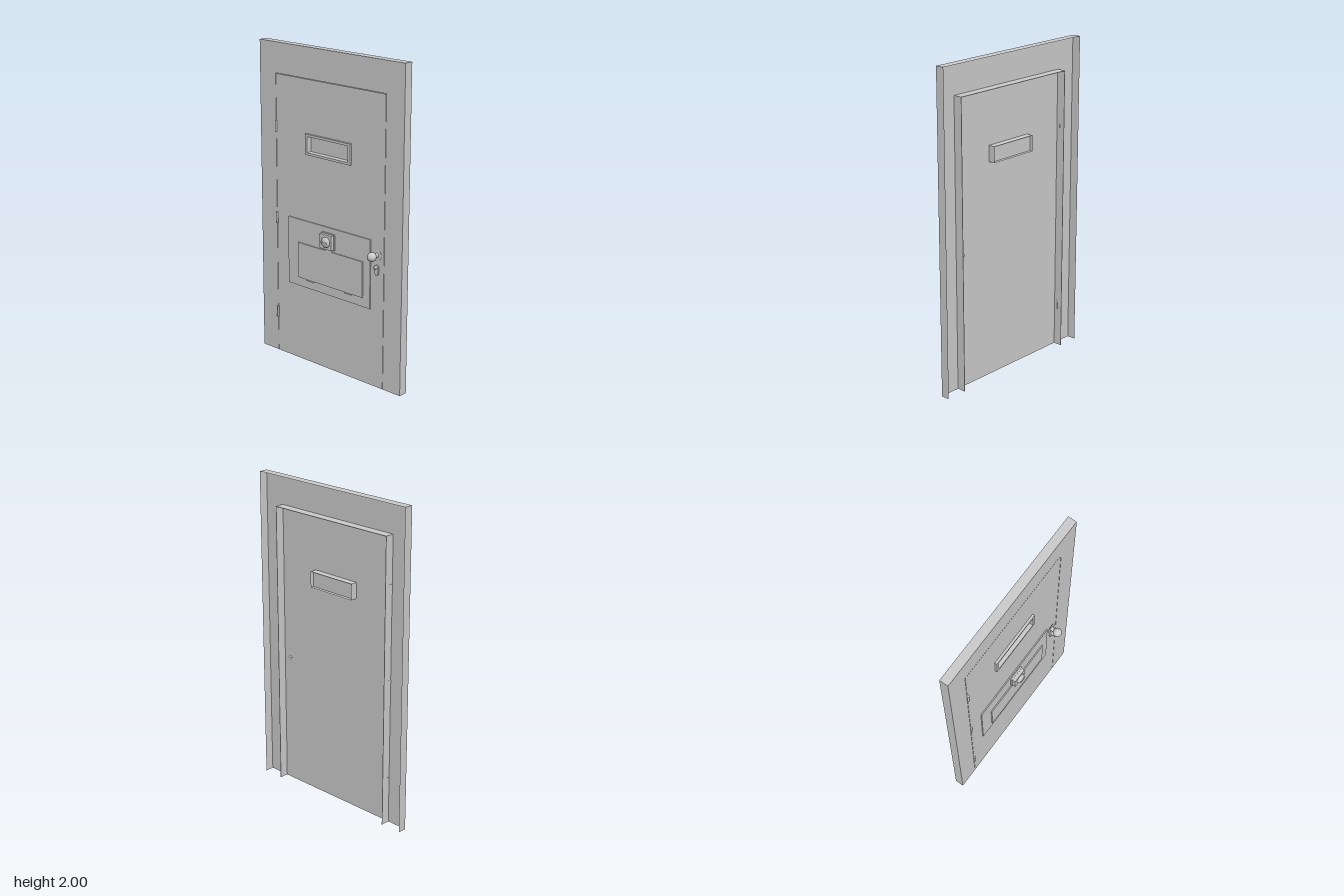
import * as THREE from 'three';

const mat = new THREE.MeshStandardMaterial({ color: 0xcccccc, side: THREE.DoubleSide });
const FACE = -0.012, BACK = -0.068;

export function createModel() {
  const group = new THREE.Group();
  const add = (name, geo, x = 0, y = 0, z = 0, parent = group) => {
    const m = new THREE.Mesh(geo, mat);
    m.name = name;
    m.position.set(x, y, z);
    parent.add(m);
    return m;
  };
  const path = (pts) => pts.map(([x, y]) => new THREE.Vector2(x, y));
  const rect = (x0, x1, y0, y1) => [[x0, y0], [x0, y1], [x1, y1], [x1, y0]];

  // Flat sheet facing the front, with optional holes
  const sheet = (name, pts, z, ...holes) => {
    const s = new THREE.Shape(path(pts));
    holes.forEach((h) => s.holes.push(new THREE.Path(path(h))));
    return add(name, new THREE.ShapeGeometry(s), 0, 0, z);
  };
  // Strip of folded metal following a polyline between two depths
  const ribbon = (name, pts, z0, z1) => {
    const pos = [];
    for (let i = 0; i < pts.length - 1; i++) {
      const [a, b] = pts[i], [c, d] = pts[i + 1];
      pos.push(a, b, z0, c, d, z0, c, d, z1, a, b, z0, c, d, z1, a, b, z1);
    }
    const g = new THREE.BufferGeometry();
    g.setAttribute('position', new THREE.Float32BufferAttribute(pos, 3));
    g.computeVertexNormals();
    return add(name, g);
  };
  // Box given by its limits
  const slab = (name, x0, x1, y0, y1, z0, z1) =>
    add(name, new THREE.BoxGeometry(x1 - x0, y1 - y0, z1 - z0), (x0 + x1) / 2, (y0 + y1) / 2, (z0 + z1) / 2);
  // Round part pointing forwards
  const turned = (name, pts, x, y, z, seg = 24) => {
    const m = add(name, new THREE.LatheGeometry(path(pts), seg), x, y, z);
    m.rotation.x = Math.PI / 2;
    return m;
  };

  // Frame: folded sheet, open at the back and bottom
  const outer = rect(-0.58, 0.58, 0, 2);
  const jamb = rect(-0.445, 0.445, 0, 1.81);
  const leaf = rect(-0.442, 0.442, 0, 1.807);
  sheet('frameFace', [...outer, ...[...jamb].reverse()], FACE);
  ribbon('frameReturn', outer, FACE, BACK);
  ribbon('jambReturn', jamb, FACE, BACK);

  // Door leaf with folded edges and a closed gap
  const opening = rect(-0.168, 0.165, 1.363, 1.462);
  sheet('doorFace', leaf, FACE, opening);
  ribbon('doorReturn', leaf, FACE, BACK);
  sheet('doorGap', [...jamb, ...[...leaf].reverse()], BACK);

  // Viewing slot: raised surround, tunnel and pane
  const trim = new THREE.Shape(path(rect(-0.185, 0.182, 1.348, 1.477)));
  trim.holes.push(new THREE.Path(path(opening)));
  add('slotSurround', new THREE.ExtrudeGeometry(trim, { depth: 0.015, bevelEnabled: false }), 0, 0, FACE);
  ribbon('slotTunnel', [...opening, opening[0]], FACE, -0.056);
  sheet('slotPane', opening, -0.034);

  // Serving hatch: back plate, flap with a latch tab, flap hinges
  slab('hatchPlate', -0.34, 0.34, 0.492, 0.926, FACE, -0.005);
  const flap = new THREE.Shape(path([
    [-0.25, 0.55], [0.285, 0.55], [0.285, 0.777], [0.036, 0.777],
    [0.036, 0.795], [-0.018, 0.795], [-0.018, 0.777], [-0.25, 0.777],
  ]));
  add('hatchFlap', new THREE.ExtrudeGeometry(flap, { depth: 0.007, bevelEnabled: false }), 0, 0, -0.005);
  for (const x of [-0.149, 0.167]) {
    const h = add('flapHinge', new THREE.CylinderGeometry(0.004, 0.004, 0.056, 12), x, 0.544, -0.002);
    h.rotation.z = Math.PI / 2;
  }

  // Hatch lock: stepped case with a domed turn and finger bar
  slab('lockBase', -0.045, 0.058, 0.792, 0.893, -0.005, 0.006);
  slab('lockCase', -0.041, 0.054, 0.796, 0.889, 0.006, 0.026);
  turned('lockTurn', [[0.032, 0], [0.032, 0.007], [0.028, 0.012], [0.019, 0.017], [0, 0.02]], 0.01, 0.842, 0.026);
  slab('lockFingerBar', -0.012, 0.032, 0.838, 0.846, 0.03, 0.048);

  // Door knob: rose, neck, ball, and spindle end at the back
  turned('knobRose', [[0, 0], [0.034, 0], [0.034, 0.004], [0, 0.004]], 0.39, 0.842, FACE);
  turned('knobNeck', [[0.014, 0], [0.014, 0.026]], 0.39, 0.842, -0.009);
  add('knobBall', new THREE.SphereGeometry(0.028, 32, 20), 0.39, 0.842, 0.037);
  turned('spindleEnd', [[0, 0], [0.009, 0], [0.009, 0.008]], 0.39, 0.842, -0.018, 16);

  // Keyhole cover: teardrop plate hanging from a pivot
  const drop = new THREE.Shape();
  drop.absarc(0, 0, 0.014, 0, Math.PI, false);
  drop.quadraticCurveTo(-0.018, -0.052, 0, -0.054);
  drop.quadraticCurveTo(0.018, -0.052, 0.014, 0);
  add('keyholeCover', new THREE.ExtrudeGeometry(drop, { depth: 0.008, bevelEnabled: false }), 0.39, 0.768, FACE);
  turned('keyholePivot', [[0.01, 0], [0.01, 0.018], [0.007, 0.021], [0, 0.021]], 0.39, 0.768, -0.004, 16);

  // Door hinges: knuckle in front, leaf against the jamb
  for (const y of [0.267, 0.896, 1.483]) {
    add('hingeKnuckle', new THREE.CylinderGeometry(0.007, 0.007, 0.072, 16), -0.441, y, -0.006);
    slab('hingeLeaf', -0.446, -0.441, y - 0.036, y + 0.036, -0.035, -0.008);
  }
  return group;
}
